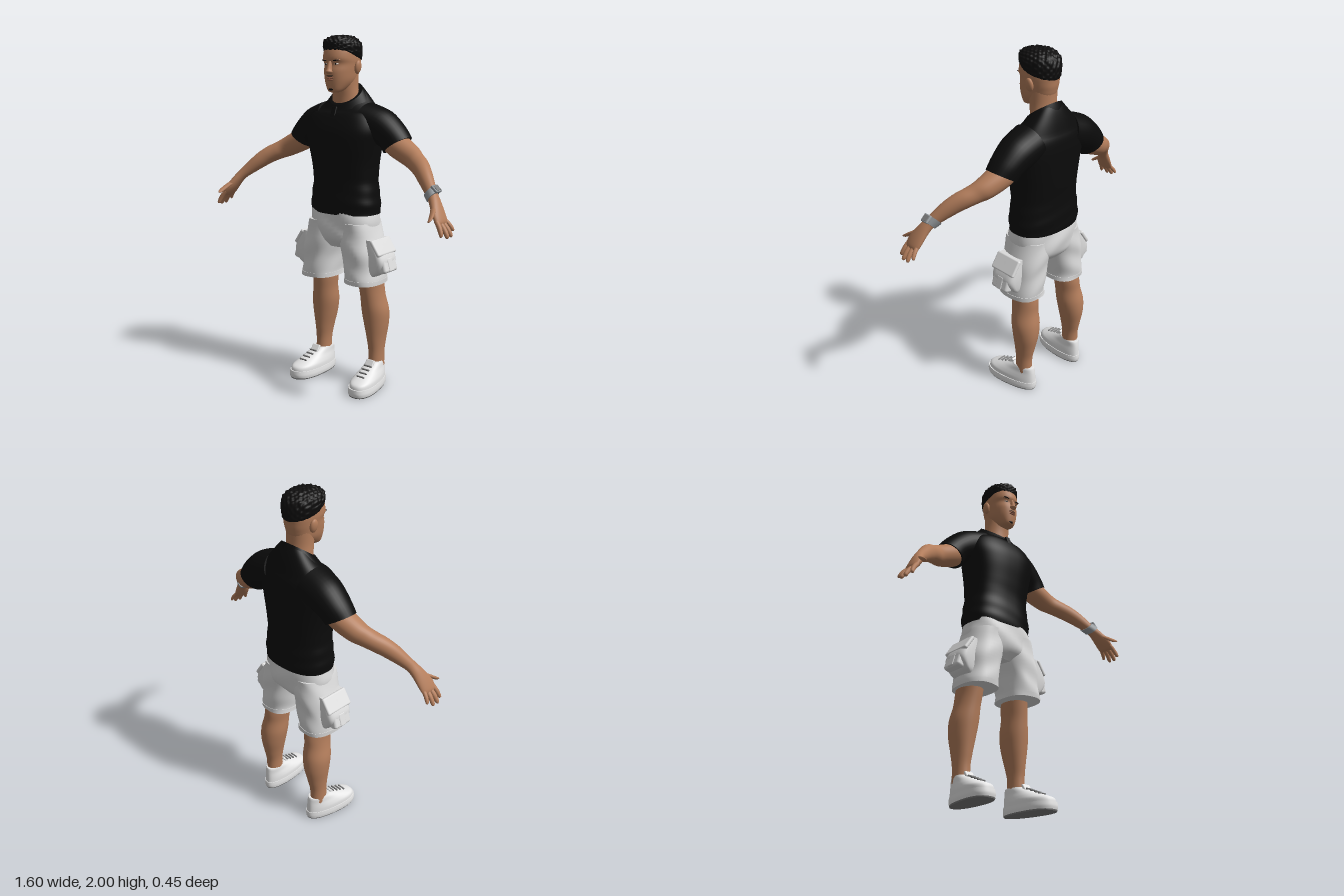
import * as THREE from 'three';
import { mergeVertices } from 'three/addons/utils/BufferGeometryUtils.js';
import { RoundedBoxGeometry } from 'three/addons/geometries/RoundedBoxGeometry.js';

const material = (name, color) => new THREE.MeshStandardMaterial({ name, color });

// Smooth loft through rings [x, y, z, tilt in degrees, half width, half depth].
// power squares the section; bend(v) reshapes each vertex. Ends get flat caps.
function loft(rings, { n = 32, sub = 5, power = 2, bend } = {}) {
  const at = i => rings[Math.min(rings.length - 1, Math.max(0, i))];
  const fine = [];
  for (let i = 0; i < rings.length - 1; i++) {
    for (let k = 0; k < sub || (i === rings.length - 2 && k === sub); k++) {
      const t = k / sub;
      fine.push(at(i).map((b, j) => {
        const a = at(i - 1)[j], c = at(i + 1)[j], d = at(i + 2)[j];
        return b + 0.5 * t * (c - a + t * (2 * a - 5 * b + 4 * c - d + t * (3 * (b - c) + d - a)));
      }));
    }
  }
  const pos = [], index = [];
  const round = v => Math.sign(v) * Math.abs(v) ** (2 / power);
  const put = (x, y, z) => {
    const v = new THREE.Vector3(x, y, z);
    if (bend) bend(v);
    pos.push(v.x, v.y, v.z);
  };
  const ring = ([x, y, z, deg, ra, rb]) => {
    const a = THREE.MathUtils.degToRad(deg);
    for (let j = 0; j < n; j++) {
      const t = j / n * Math.PI * 2, u = ra * round(Math.cos(t));
      put(x + u * Math.cos(a), y + u * Math.sin(a), z + rb * round(Math.sin(t)));
    }
  };
  const f = rings[0], l = rings[rings.length - 1], a0 = THREE.MathUtils.degToRad(f[3]);
  const forward = -Math.sin(a0) * (l[0] - f[0]) + Math.cos(a0) * (l[1] - f[1]) > 0;
  const tri = (a, b, c) => forward ? index.push(a, b, c) : index.push(a, c, b);
  fine.forEach(ring);
  for (let i = 0; i < fine.length - 1; i++) for (let j = 0; j < n; j++) {
    const a = i * n + j, b = i * n + (j + 1) % n;
    tri(a, a + n, b);
    tri(b, a + n, b + n);
  }
  [f, l].forEach((r, end) => {
    const start = pos.length / 3;
    ring(r);
    put(r[0], r[1], r[2]);
    for (let j = 0; j < n; j++) {
      const a = start + j, b = start + (j + 1) % n;
      end ? tri(a, start + n, b) : tri(a, b, start + n);
    }
  });
  const g = new THREE.BufferGeometry();
  g.setAttribute('position', new THREE.Float32BufferAttribute(pos, 3));
  g.setIndex(index);
  g.computeVertexNormals();
  return g;
}

const blob = (x, y, z, a, b, c, rz = 0) =>
  new THREE.SphereGeometry(1, 20, 14).scale(a, b, c).rotateZ(rz).translate(x, y, z);
const box = (x, y, z, w, h, d, rx = 0, rz = 0, r = 0.006) =>
  new RoundedBoxGeometry(w, h, d, 3, r).rotateX(rx).rotateZ(rz).translate(x, y, z);

function mirror(geometry) {
  const g = geometry.index ? geometry.clone() : mergeVertices(geometry);
  g.scale(-1, 1, 1);
  const ix = g.index.array;
  for (let i = 0; i < ix.length; i += 3) [ix[i], ix[i + 1]] = [ix[i + 1], ix[i]];
  return g;
}

export function createModel() {
  const model = new THREE.Group();
  const skin = material('skin', 0xb47e5c), lipTone = material('lips', 0x99604a);
  const shirt = material('black cloth', 0x0b0b0b), hairTone = material('black hair', 0x0e0d0d);
  const cloth = material('pale cloth', 0xdcdcdc), shoe = material('white leather', 0xe6e6e6);
  const grey = material('grey rubber', 0x7d7d7d), metal = material('watch metal', 0x969b9f);
  const white = material('eye white', 0xd8cfc8);
  const add = (name, g, m) => {
    const mesh = new THREE.Mesh(g, m);
    mesh.name = name;
    model.add(mesh);
  };
  const both = (name, g, m) => {
    add(name + 'Left', g, m);
    add(name + 'Right', mirror(g), m);
  };

  // Head and neck
  add('neck', loft([[0, 1.58, -0.085, 0, 0.085, 0.075], [0, 1.66, -0.08, 0, 0.08, 0.07],
    [0, 1.72, -0.072, 0, 0.075, 0.07], [0, 1.79, -0.068, 0, 0.077, 0.075]]), skin);
  add('head', loft([[0, 1.69, 0.025, 0, 0.025, 0.02], [0, 1.703, 0.01, 0, 0.045, 0.048],
    [0, 1.75, -0.03, 0, 0.073, 0.097], [0, 1.8, -0.04, 0, 0.083, 0.11], [0, 1.84, -0.047, 0, 0.088, 0.109],
    [0, 1.875, -0.043, 0, 0.091, 0.116], [0, 1.93, -0.048, 0, 0.086, 0.106],
    [0, 1.97, -0.048, 0, 0.055, 0.07]], { power: 2.2 }), skin);
  add('nose', loft([[0, 1.788, 0.066, 0, 0.012, 0.012], [0, 1.8, 0.071, 0, 0.021, 0.024],
    [0, 1.815, 0.069, 0, 0.014, 0.02], [0, 1.858, 0.061, 0, 0.009, 0.012]], { n: 16 }), skin);
  add('upperLip', blob(0, 1.768, 0.063, 0.025, 0.005, 0.012), lipTone);
  add('lowerLip', blob(0, 1.758, 0.062, 0.021, 0.006, 0.012), lipTone);
  add('moustache', blob(0, 1.778, 0.063, 0.026, 0.003, 0.009), hairTone);
  add('goatee', blob(0, 1.708, 0.039, 0.027, 0.014, 0.022), hairTone);
  both('ear', blob(0.092, 1.825, -0.065, 0.015, 0.037, 0.025, -0.15), skin);
  both('browRidge', blob(0.034, 1.861, 0.051, 0.026, 0.009, 0.016, 0.1), skin);
  both('eyebrow', blob(0.037, 1.861, 0.06, 0.022, 0.004, 0.009, 0.1), hairTone);
  both('eye', blob(0.034, 1.842, 0.049, 0.014, 0.0055, 0.011), white);
  both('iris', blob(0.034, 1.842, 0.057, 0.005, 0.0052, 0.004), hairTone);

  // Curly hair: bumpy cap, lower at the nape
  add('hair', loft([[0, 1.882, -0.05, 0, 0.091, 0.113], [0, 1.9, -0.05, 0, 0.098, 0.118],
    [0, 1.94, -0.05, 0, 0.1, 0.12], [0, 1.97, -0.05, 0, 0.085, 0.102],
    [0, 1.99, -0.05, 0, 0.05, 0.062], [0, 1.996, -0.05, 0, 0.005, 0.006]], {
    n: 110, sub: 10, bend: v => {
      const c = Math.sin(v.x * 230) * Math.sin(v.y * 230) + Math.sin(v.z * 230) * Math.cos(v.x * 200);
      const low = Math.min(1, Math.max(0, (2 - v.y) / 0.11));
      v.x *= 1 + 0.022 * c;
      v.z += (v.z + 0.05) * 0.022 * c;
      v.y += 0.0025 * c + (v.z + 0.05) * 0.27 * low;
    } }), hairTone);

  // Polo shirt: the neckline drops at the front, soft folds near the hem
  const neckline = v => { if (v.y > 1.58) v.y -= (v.y - 1.58) * 0.6 * (v.z + 0.09) / 0.09; };
  add('shirtBody', loft([[0, 1.015, -0.08, 0, 0.212, 0.14], [0, 1.06, -0.08, 0, 0.213, 0.143],
    [0, 1.12, -0.08, 0, 0.208, 0.14], [0, 1.2, -0.08, 0, 0.197, 0.135], [0, 1.3, -0.077, 0, 0.203, 0.145],
    [0, 1.4, -0.073, 0, 0.222, 0.153], [0, 1.48, -0.075, 0, 0.238, 0.152], [0, 1.55, -0.085, 0, 0.225, 0.137],
    [0, 1.6, -0.092, 0, 0.18, 0.113], [0, 1.645, -0.09, 0, 0.13, 0.095], [0, 1.675, -0.085, 0, 0.098, 0.083]], {
    n: 64, power: 2.4, bend: v => {
      const fold = Math.max(0, 1.3 - v.y) * 0.016 * Math.sin(v.y * 75 + v.x * 14);
      v.x *= 1 + fold * 3;
      v.z += (v.z + 0.08) * fold * 3;
      neckline(v);
    } }), shirt);
  add('collar', loft([[0, 1.628, -0.085, 0, 0.145, 0.105], [0, 1.655, -0.084, 0, 0.122, 0.096],
    [0, 1.685, -0.082, 0, 0.096, 0.085]], { n: 48, bend: neckline }), shirt);
  add('placket', box(0, 1.555, 0.038, 0.032, 0.12, 0.02, -0.35), shirt);
  both('sleeve', loft([[0.12, 1.54, -0.1, 70, 0.1, 0.115], [0.22, 1.505, -0.108, 60, 0.1, 0.105],
    [0.295, 1.455, -0.11, 45, 0.087, 0.092], [0.33, 1.41, -0.107, 32, 0.088, 0.083]]), shirt);

  // Arms with flattened palms
  both('arm', loft([[0.27, 1.45, -0.108, 45, 0.065, 0.07], [0.34, 1.405, -0.102, 50, 0.068, 0.072],
    [0.43, 1.36, -0.085, 58, 0.06, 0.062], [0.48, 1.335, -0.058, 60, 0.053, 0.057],
    [0.53, 1.31, -0.028, 58, 0.05, 0.055], [0.58, 1.272, 0.01, 54, 0.045, 0.048],
    [0.635, 1.22, 0.052, 50, 0.035, 0.037], [0.665, 1.19, 0.075, 48, 0.029, 0.035],
    [0.69, 1.16, 0.092, 42, 0.027, 0.041], [0.72, 1.115, 0.111, 34, 0.024, 0.052],
    [0.745, 1.075, 0.119, 28, 0.018, 0.051], [0.753, 1.06, 0.121, 27, 0.009, 0.042]]), skin);
  const finger = (name, a, b, r) => {
    const p = (t, k) => [0, 1, 2].map(i => a[i] + (b[i] - a[i]) * t + (i === 0 ? 0.006 * Math.sin(t * Math.PI) : 0))
      .concat(27, r * k, r * k);
    both(name, loft([p(0, 1), p(0.35, 1.05), p(0.7, 0.95), p(0.92, 0.75), p(1, 0.25)], { n: 12, sub: 3 }), skin);
  };
  finger('indexFinger', [0.737, 1.085, 0.157], [0.781, 1.01, 0.178], 0.0125);
  finger('middleFinger', [0.742, 1.075, 0.133], [0.796, 1.0, 0.142], 0.013);
  finger('ringFinger', [0.742, 1.075, 0.108], [0.796, 1.002, 0.105], 0.0125);
  finger('littleFinger', [0.738, 1.085, 0.083], [0.784, 1.025, 0.068], 0.011);
  finger('thumb', [0.7, 1.145, 0.125], [0.732, 1.085, 0.217], 0.015);

  // Wristwatch on the left arm
  add('watchStrap', loft([[0.641, 1.213, 0.058, 48, 0.038, 0.042], [0.669, 1.186, 0.078, 48, 0.035, 0.042]],
    { power: 2.4 }), metal);
  add('watchCase', box(0.682, 1.227, 0.07, 0.046, 0.016, 0.052, 0, -0.73), metal);
  add('watchDial', box(0.688, 1.234, 0.07, 0.033, 0.004, 0.038, 0, -0.73, 0.0015), grey);

  // Cargo shorts
  const crease = v => {
    const w = 0.0035 * Math.sin(v.y * 42 + v.x * 25 + v.z * 18);
    v.x += w * Math.sign(v.x) * 0.6;
    v.z += w;
  };
  add('shortsSeat', loft([[0, 0.82, -0.075, 0, 0.09, 0.09], [0, 0.87, -0.075, 0, 0.185, 0.132],
    [0, 0.94, -0.077, 0, 0.211, 0.142], [0, 1.03, -0.078, 0, 0.203, 0.136]],
    { n: 56, power: 2.5, bend: crease }), cloth);
  both('shortsLeg', loft([[0.155, 0.63, -0.067, 0, 0.106, 0.131], [0.154, 0.67, -0.067, 0, 0.105, 0.132],
    [0.145, 0.75, -0.068, 0, 0.106, 0.133], [0.127, 0.85, -0.071, 0, 0.114, 0.135],
    [0.105, 0.97, -0.075, 0, 0.1, 0.132]], { n: 48, power: 2.4, bend: crease }), cloth);
  both('shortsHem', loft([[0.155, 0.626, -0.067, 0, 0.108, 0.133], [0.155, 0.652, -0.067, 0, 0.108, 0.134]],
    { n: 48, power: 2.4, bend: crease }), cloth);
  both('pocketBag', loft([[0.23, 0.68, -0.065, 0, 0.03, 0.068], [0.245, 0.705, -0.065, 0, 0.045, 0.078],
    [0.258, 0.76, -0.065, 0, 0.062, 0.084], [0.245, 0.82, -0.065, 0, 0.055, 0.084],
    [0.228, 0.885, -0.065, 0, 0.03, 0.08]], { power: 4 }), cloth);
  both('pocketFold', box(0.3, 0.745, -0.065, 0.05, 0.085, 0.125, 0, 0.3, 0.015), cloth);
  both('pocketFlap', box(0.272, 0.845, -0.065, 0.022, 0.1, 0.176, 0, 0.6, 0.01), cloth);
  both('pocketPleat', box(0.321, 0.75, -0.065, 0.014, 0.075, 0.045, 0, 0.3), cloth);

  // Lower legs
  both('leg', loft([[0.165, 0.7, -0.09, 0, 0.07, 0.085], [0.168, 0.6, -0.105, 0, 0.068, 0.085],
    [0.175, 0.53, -0.112, 0, 0.069, 0.082], [0.183, 0.45, -0.124, 0, 0.077, 0.086],
    [0.188, 0.37, -0.129, 0, 0.069, 0.081], [0.192, 0.28, -0.126, 0, 0.053, 0.066],
    [0.195, 0.2, -0.122, 0, 0.044, 0.053], [0.195, 0.1, -0.12, 0, 0.045, 0.055]]), skin);

  // Sneakers: wide at the toe, turned slightly outward
  const foot = v => {
    v.x = 0.195 + (v.x - 0.195) * (1 + 1.1 * (v.z + 0.03)) + 0.1 * (v.z + 0.12);
  };
  const shoePart = { n: 48, power: 2.35, bend: foot };
  both('outsole', loft([[0.195, 0, -0.03, 0, 0.069, 0.166], [0.195, 0.008, -0.03, 0, 0.072, 0.169]], shoePart), grey);
  both('midsole', loft([[0.195, 0.007, -0.03, 0, 0.072, 0.169], [0.195, 0.025, -0.03, 0, 0.074, 0.172],
    [0.195, 0.048, -0.031, 0, 0.072, 0.17]], shoePart), shoe);
  both('shoeUpper', loft([[0.195, 0.045, -0.032, 0, 0.068, 0.165], [0.195, 0.07, -0.036, 0, 0.067, 0.16],
    [0.195, 0.09, -0.057, 0, 0.062, 0.138], [0.195, 0.115, -0.088, 0, 0.054, 0.105],
    [0.195, 0.14, -0.115, 0, 0.05, 0.074], [0.195, 0.15, -0.12, 0, 0.047, 0.065]], shoePart), shoe);
  both('shoeTongue', box(0.202, 0.145, -0.045, 0.055, 0.045, 0.016, -0.6), shoe);
  for (let i = 0; i < 4; i++) {
    const z = 0.06 - i * 0.028;
    both('lace' + (i + 1), box(0.195 + 0.1 * (z + 0.12), 0.1 + i * 0.012, z, 0.052, 0.01, 0.008, 0.4, 0, 0.003), grey);
  }
  return model;
}
